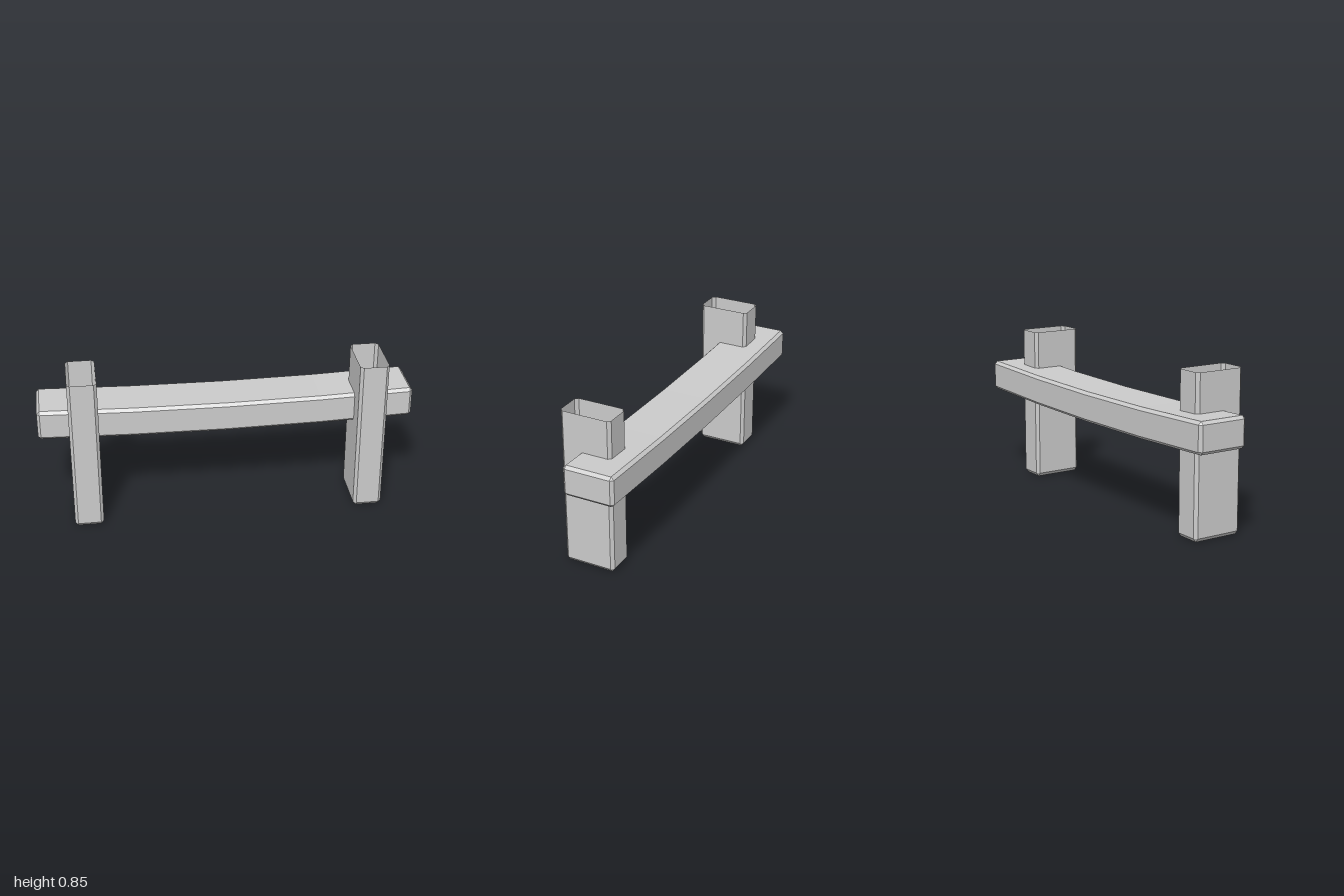
import * as THREE from 'three';

// Eight-sided outline of a chamfered rectangle; inset = true collapses it to the inner rectangle
function section(ca, cb, ha, hb, bevel, inset = false) {
  const pts = [];
  for (const [sa, sb, swap] of [[1, 1, 0], [-1, 1, 1], [-1, -1, 0], [1, -1, 1]]) {
    const ia = inset ? bevel : 0;
    const onA = [ca + sa * (ha - ia), cb + sb * (hb - bevel)];
    const onB = [ca + sa * (ha - bevel), cb + sb * (hb - ia)];
    pts.push(...(swap ? [onB, onA] : [onA, onB]));
  }
  return pts;
}

// Joins rings of 3D points with flat faces, capping either end
function loft(rings, capStart, capEnd) {
  const pos = [];
  const tri = (a, b, c) => pos.push(...a, ...b, ...c);
  const n = rings[0].length;
  for (let r = 0; r < rings.length - 1; r++) {
    const p = rings[r], q = rings[r + 1];
    for (let i = 0; i < n; i++) {
      const j = (i + 1) % n;
      tri(p[i], q[j], p[j]);
      tri(p[i], q[i], q[j]);
    }
  }
  const first = rings[0], last = rings[rings.length - 1];
  for (let i = 1; i < n - 1; i++) {
    if (capStart) tri(first[0], first[i], first[i + 1]);
    if (capEnd) tri(last[0], last[i + 1], last[i]);
  }
  const geo = new THREE.BufferGeometry();
  geo.setAttribute('position', new THREE.Float32BufferAttribute(pos, 3));
  geo.computeVertexNormals();
  return geo;
}

export function createModel() {
  const group = new THREE.Group();
  const bevel = 0.016;
  const material = new THREE.MeshStandardMaterial({ color: 0xcccccc, flatShading: true, side: THREE.DoubleSide });

  // Hollow upright posts, open at the top, chamfered at the foot
  for (const [side, name] of [[1, 'leftPost'], [-1, 'rightPost']]) {
    const rings = [[0, true], [0.02, false], [0.853, false]].map(([y, inset]) =>
      section(side * 0.76, 0.053, 0.077, 0.14, bevel, inset).map(([x, z]) => [x, y, z]));
    const post = new THREE.Mesh(loft(rings, true, false), material);
    post.name = name;
    group.add(post);
  }

  // Sagging cross beam, running behind and through the posts
  const rings = [-1, -0.985, -0.5, 0, 0.5, 0.985, 1].map((x) => {
    const y = 0.5515 + 0.021 * Math.min(1, (x / 0.985) ** 2);
    return section(-0.052, y, 0.14, 0.082, bevel, Math.abs(x) === 1).map(([z, h]) => [x, h, z]);
  });
  const beam = new THREE.Mesh(loft(rings, true, true), material);
  beam.name = 'crossBeam';
  group.add(beam);

  return group;
}
